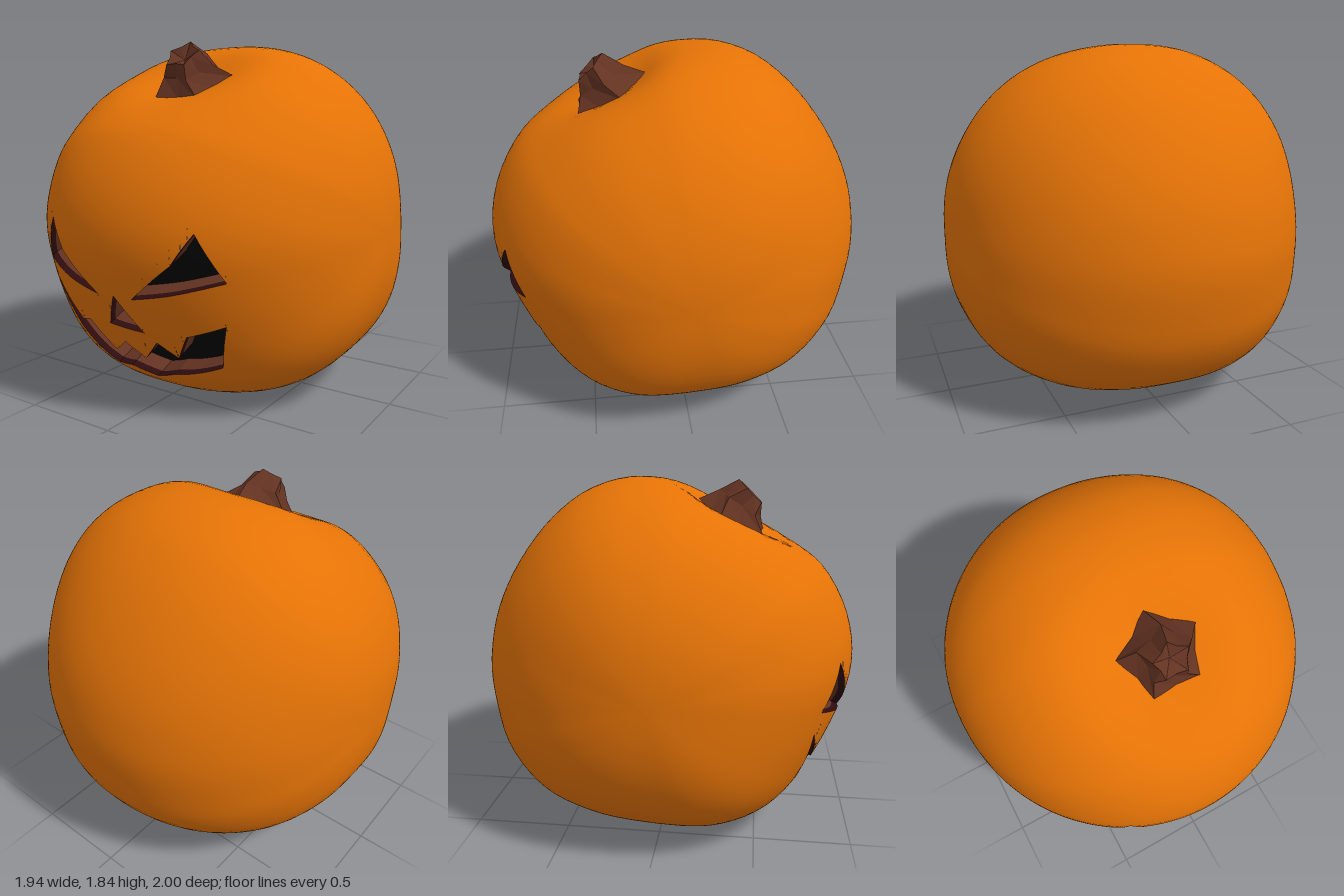
import * as THREE from 'three';

const orange = new THREE.MeshStandardMaterial({ color: 0xe57306 });
orange.name = 'pumpkin orange';
const brown = new THREE.MeshStandardMaterial({ color: 0x643322, side: THREE.DoubleSide, flatShading: true });
brown.name = 'flesh and stem brown';
const maroon = new THREE.MeshStandardMaterial({ color: 0x2e0c10, side: THREE.DoubleSide, flatShading: true });
maroon.name = 'cut edge maroon';
const black = new THREE.MeshStandardMaterial({ color: 0x030303 });
black.name = 'hollow black';

const MID = 0.88, HALF = 0.97, ROWS = 84, COLUMNS = 110;
const { smoothstep, clamp } = THREE.MathUtils;

// Side outline as (z, y), from the top over the front and round the back
const outline = new THREE.CatmullRomCurve3([
  [-0.1, 1.85], [0.06, 1.84], [0.2, 1.8], [0.48, 1.675], [0.74, 1.47], [0.84, 1.365], [0.945, 1.18],
  [0.995, 1], [0.995, 0.83], [0.94, 0.64], [0.845, 0.43], [0.71, 0.22], [0.58, 0.105], [0.41, 0.03], [0.22, -0.005],
  [-0.2, 0.015], [-0.42, 0.06], [-0.65, 0.14], [-0.8, 0.255], [-0.92, 0.43], [-0.975, 0.63], [-1, 0.83],
  [-0.98, 1.01], [-0.94, 1.16], [-0.86, 1.33], [-0.73, 1.52], [-0.6, 1.66], [-0.45, 1.77], [-0.27, 1.835],
].map(([z, y]) => new THREE.Vector3(0, y - MID, z)), true);

// Dents under the stem and at the blossom end
const dents = [
  { at: new THREE.Vector3(0, 1.72, 0.38), push: new THREE.Vector3(0, -0.125, -0.06), size: 0.22 },
  { at: new THREE.Vector3(0, 0.03, -0.25), push: new THREE.Vector3(0, 0.12, 0.03), size: 0.22 },
];

// Skin point: phi runs from side to side, t runs along the outline
function skin(phi, t) {
  const c = outline.getPoint(t);
  const square = 0.5 * smoothstep(-c.y, 0, 0.8) * (1 - 0.6 * smoothstep(Math.abs(c.z), 0.3, 0.95));
  const p = 2 + 0.15 * smoothstep(c.y, 0.2, 0.8) + square;
  const s = Math.pow(Math.max(0, 1 - Math.pow(Math.abs(Math.sin(phi)), p)), 1 / p);
  const v = new THREE.Vector3(HALF * Math.sin(phi), MID + s * c.y, s * c.z);
  const base = v.clone();
  for (const d of dents) {
    v.addScaledVector(d.push, Math.exp(-base.distanceToSquared(d.at) / (2 * d.size * d.size)));
  }
  return v;
}

function skinNormal(phi, t) {
  const e = 0.004, f = clamp(phi, -1.54, 1.54);
  const across = skin(f + e, t).sub(skin(f - e, t));
  const along = skin(f, (t + e) % 1).sub(skin(f, (t - e + 1) % 1));
  return along.cross(across).normalize();
}

// Front view (x, y) to skin coordinates (phi, t)
function locate([x, y]) {
  const phi = Math.asin(x / HALF);
  let lo = 2 / 29, hi = 14 / 29;
  for (let i = 0; i < 30; i++) {
    const m = (lo + hi) / 2;
    if (skin(phi, m).y > y) lo = m; else hi = m;
  }
  return [phi, lo];
}

// Carved openings
const eye = [[0.43, 0.965], [0.54, 0.745], [0.3, 0.675], [0.105, 0.635], [0.33, 0.82]];
const openings = {
  leftEye: eye,
  rightEye: eye.map(([x, y]) => [-x, y]),
  nose: [[0, 0.64], [0.11, 0.46], [-0.09, 0.475]],
  mouth: [
    [-0.53, 0.625], [-0.355, 0.43], [-0.265, 0.455], [-0.15, 0.3], [-0.045, 0.375], [0.045, 0.295],
    [0.16, 0.41], [0.245, 0.335], [0.325, 0.465], [0.505, 0.53], [0.435, 0.3], [0.165, 0.215],
    [0.03, 0.165], [-0.11, 0.205], [-0.23, 0.185], [-0.43, 0.375],
  ],
};
const INWARD = new THREE.Vector3(0, 0.045, -0.11);

function makeGeometry(pos, nor) {
  const g = new THREE.BufferGeometry();
  g.setAttribute('position', new THREE.Float32BufferAttribute(pos, 3));
  if (nor) g.setAttribute('normal', new THREE.Float32BufferAttribute(nor, 3));
  else g.computeVertexNormals();
  return g;
}

function addMesh(parent, name, geometry, material) {
  const m = new THREE.Mesh(geometry, material);
  m.name = name;
  parent.add(m);
}

function pushQuad(pos, a, b, c, d) {
  for (const v of [a, b, c, a, c, d]) pos.push(v.x, v.y, v.z);
}

// Upright strips of skin, split wherever they cross an opening
function buildSkin(polys) {
  const cuts = polys.flat().map((p) => p[0]);
  for (let i = 0; i <= COLUMNS; i++) cuts.push(-Math.PI / 2 + (i / COLUMNS) * Math.PI);
  cuts.sort((a, b) => a - b);
  const shell = { pos: [], nor: [] }, hollow = { pos: [], nor: [] };
  for (let i = 0; i + 1 < cuts.length; i++) {
    const a = cuts[i], b = cuts[i + 1], m = (a + b) / 2;
    if (b - a < 1e-5) continue;
    const lines = [[0, 0], [1, 1]];
    for (const poly of polys) {
      poly.forEach((p, k) => {
        const q = poly[(k + 1) % poly.length];
        if ((p[0] < m) === (q[0] < m)) return;
        const at = (f) => p[1] + ((q[1] - p[1]) * (f - p[0])) / (q[0] - p[0]);
        lines.push([at(a), at(b)]);
      });
    }
    lines.sort((p, q) => p[0] + p[1] - q[0] - q[1]);
    for (let k = 0; k + 1 < lines.length; k++) {
      const top = lines[k], low = lines[k + 1], inside = k % 2 === 1;
      const out = inside ? hollow : shell;
      // Shared rows keep neighbouring strips joined
      const rows = [top];
      for (let j = 1; j < ROWS; j++) {
        const t = j / ROWS;
        if (t > Math.max(...top) + 1e-4 && t < Math.min(...low) - 1e-4) rows.push([t, t]);
      }
      rows.push(low);
      const edge = rows.map((row) => [a, b].map((f, side) => {
        const v = skin(f, row[side]);
        if (inside) v.add(INWARD);
        return { v, n: skinNormal(f, row[side]) };
      }));
      for (let j = 0; j + 1 < edge.length; j++) {
        const quad = [edge[j][0], edge[j + 1][0], edge[j + 1][1], edge[j][1]];
        pushQuad(out.pos, ...quad.map((c) => c.v));
        pushQuad(out.nor, ...quad.map((c) => c.n));
      }
    }
  }
  return { shell, hollow };
}

// Cut wall of one opening between two depths
function buildWall(poly, from, to) {
  const pos = [];
  poly.forEach((p, k) => {
    const q = poly[(k + 1) % poly.length];
    const at = (u, depth) =>
      skin(p[0] + (q[0] - p[0]) * u, p[1] + (q[1] - p[1]) * u).addScaledVector(INWARD, depth);
    for (let i = 0; i < 8; i++) {
      const u = i / 8, w = (i + 1) / 8;
      pushQuad(pos, at(u, from), at(w, from), at(w, to), at(u, to));
    }
  });
  return makeGeometry(pos);
}

// Five-pointed flared stem, leaning forward, with a peaked and sunken cut top
function buildStem() {
  const rings = [
    { c: [0.035, 1.62, 0.34], r: 0.225, dip: 0.72, tilt: 0.47, twist: 0 },
    { c: [0.03, 1.7, 0.375], r: 0.14, dip: 0.72, tilt: 0.58, twist: 0.22 },
    { c: [0.025, 1.762, 0.43], r: 0.095, dip: 0.72, tilt: 0.78, twist: 0.04 },
    { c: [0.025, 1.735, 0.405], r: 0.001, dip: 1, tilt: 0.78, twist: 0.04 },
  ].map(({ c, r, dip, tilt, twist }) => Array.from({ length: 10 }, (_, i) => {
    const a = -Math.PI / 2 + (i / 10) * Math.PI * 2 + twist, q = i % 2 ? r * dip : r;
    return new THREE.Vector3(
      c[0] + q * Math.cos(a), c[1] - q * Math.sin(a) * Math.sin(tilt), c[2] + q * Math.sin(a) * Math.cos(tilt));
  }));
  const pos = [];
  for (let k = 0; k < 3; k++) {
    for (let i = 0; i < 10; i++) {
      const j = (i + 1) % 10;
      pushQuad(pos, rings[k][i], rings[k + 1][i], rings[k + 1][j], rings[k][j]);
    }
  }
  return makeGeometry(pos);
}

export function createModel() {
  const model = new THREE.Group();
  model.name = 'carvedPumpkin';
  const cut = Object.entries(openings).map(([name, pts]) => [name, pts.map(locate)]);
  const { shell, hollow } = buildSkin(cut.map((c) => c[1]));
  addMesh(model, 'pumpkinShell', makeGeometry(shell.pos, shell.nor), orange);
  addMesh(model, 'darkHollow', makeGeometry(hollow.pos, hollow.nor), black);
  for (const [name, poly] of cut) {
    addMesh(model, name + 'Edge', buildWall(poly, 0, 0.3), maroon);
    addMesh(model, name + 'Wall', buildWall(poly, 0.3, 1), brown);
  }
  addMesh(model, 'stem', buildStem(), brown);
  return model;
}
